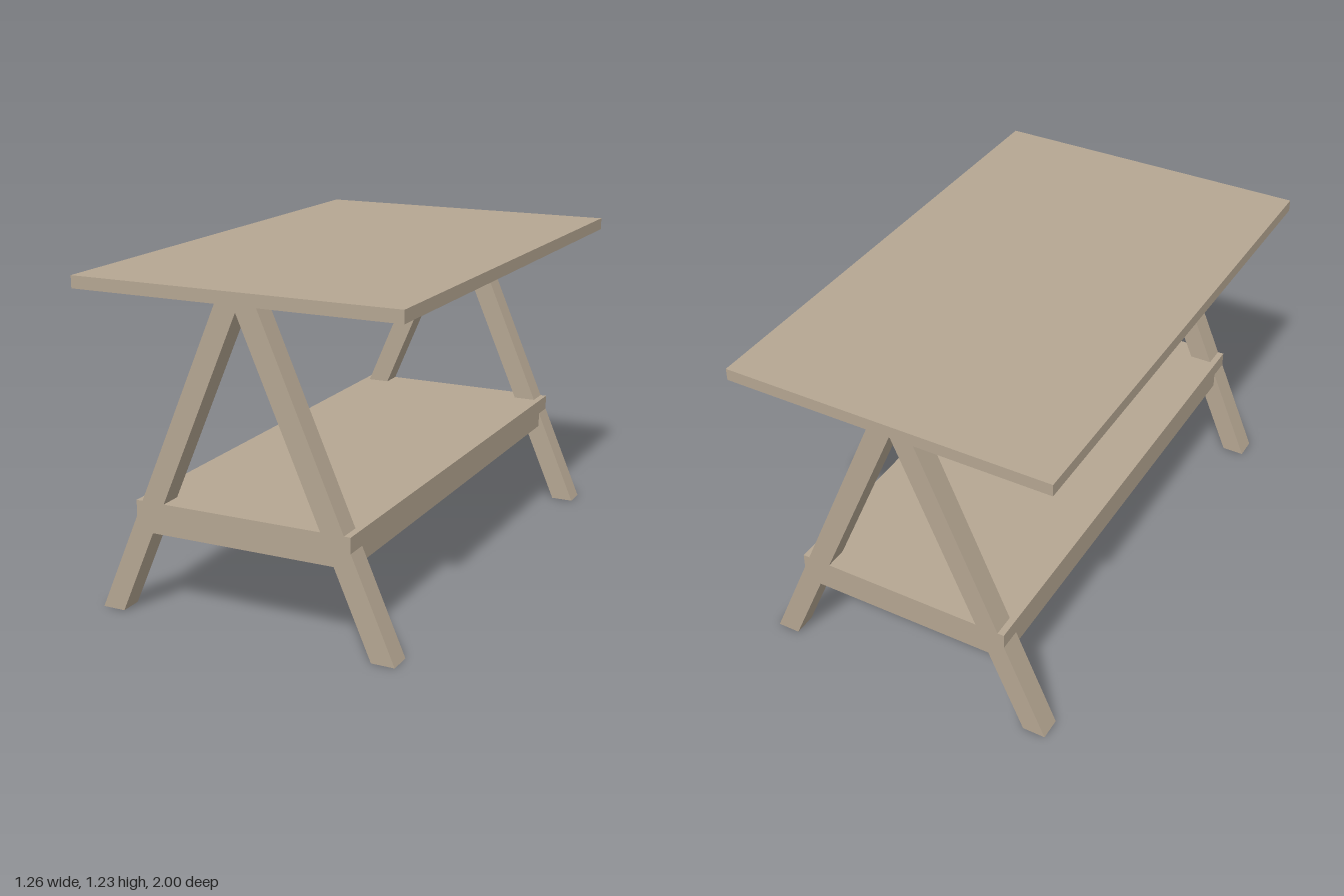
import * as THREE from 'three';

export function createModel() {
  const model = new THREE.Group();
  model.name = 'trestleTable';
  const wood = new THREE.MeshStandardMaterial({ color: 0xb5a692, flatShading: true });

  const add = (name, geometry, x, y, z) => {
    const mesh = new THREE.Mesh(geometry, wood);
    mesh.name = name;
    mesh.position.set(x, y, z);
    model.add(mesh);
  };

  // Tabletop and lower shelf
  add('tabletop', new THREE.BoxGeometry(1.256, 0.046, 2), 0, 1.208, 0);
  add('shelf', new THREE.BoxGeometry(0.845, 0.115, 1.925), 0, 0.379, 0);

  // A-shaped leg frame, one at each end
  const outline = [
    [-0.585, 0], [-0.497, 0], [0, 1.153], [0.497, 0],
    [0.585, 0], [0.076, 1.185], [-0.076, 1.185],
  ].map(([x, y]) => new THREE.Vector2(x, y));
  const depth = 0.086;
  const frame = new THREE.ExtrudeGeometry(new THREE.Shape(outline), { depth, bevelEnabled: false });
  frame.translate(0, 0, -depth / 2);
  add('frontLegFrame', frame, 0, 0, 0.9195);
  add('backLegFrame', frame, 0, 0, -0.9195);

  return model;
}
